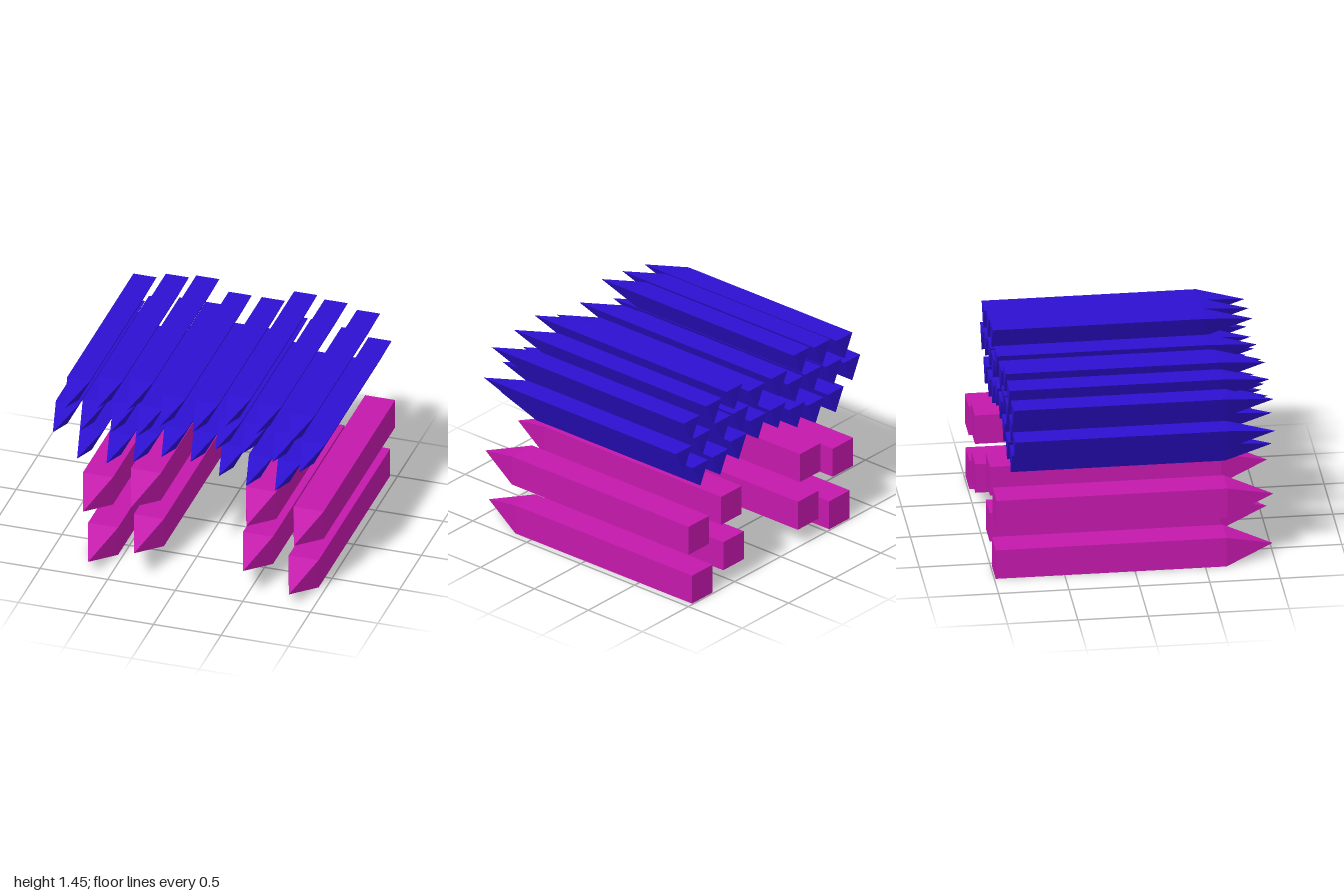
import * as THREE from 'three';

// Pointed bar along z: flat back end, straight shaft, pyramid tip at the front
function barGeometry(sides, radius, back, shoulder, tip, phiStart) {
  const profile = [[0, back], [radius, back], [radius, shoulder], [0, tip]]
    .map(([r, z]) => new THREE.Vector2(r, z));
  return new THREE.LatheGeometry(profile, sides, phiStart).rotateX(Math.PI / 2);
}

function addBars(parent, name, geometry, material, centres) {
  const group = new THREE.Group();
  group.name = name + 's';
  centres.forEach(([x, y]) => {
    const bar = new THREE.Mesh(geometry, material);
    bar.name = name;
    bar.position.set(x, y, 0);
    group.add(bar);
  });
  parent.add(group);
}

export function createModel() {
  const model = new THREE.Group();
  model.name = 'pointedBars';
  const blue = new THREE.MeshStandardMaterial({ color: 0x2c10d0, flatShading: true });
  const magenta = new THREE.MeshStandardMaterial({ color: 0xc418ac, flatShading: true });

  // Upper layer: triangular bars, flat side up, 0.171 wide and 0.171 high
  const triangle = barGeometry(3, 1, -0.88, 0.64, 0.975, 0);
  triangle.scale(0.0855 / Math.sin(Math.PI / 3), 0.114, 1);
  const triangleTops = [
    [-0.83, 1.377], [-0.59, 1.419], [-0.365, 1.445], [-0.125, 1.355],
    [0.12, 1.355], [0.36, 1.445], [0.585, 1.419], [0.825, 1.377],
    [-0.914, 1.169], [-0.715, 1.216], [-0.49, 1.243], [-0.295, 1.243],
    [0.29, 1.243], [0.485, 1.243], [0.71, 1.216], [0.91, 1.169],
    [-0.11, 1.11], [0.105, 1.11],
    [-0.735, 0.986], [-0.517, 0.986], [-0.318, 1.031],
    [0.315, 1.031], [0.515, 0.986], [0.73, 0.986],
  ];
  addBars(model, 'triangularBar', triangle, blue, triangleTops.map(([x, top]) => [x, top - 0.057]));

  // Lower layer: square bars, 0.222 on a side
  const square = barGeometry(4, 0.111 * Math.SQRT2, -0.99, 0.65, 0.99, Math.PI / 4);
  addBars(model, 'squareBar', square, magenta, [
    [-0.685, 0.514], [-0.33, 0.612], [0.523, 0.612], [0.875, 0.514],
    [-0.647, 0.111], [-0.308, 0.242], [0.5, 0.242], [0.838, 0.111],
  ]);

  return model;
}
